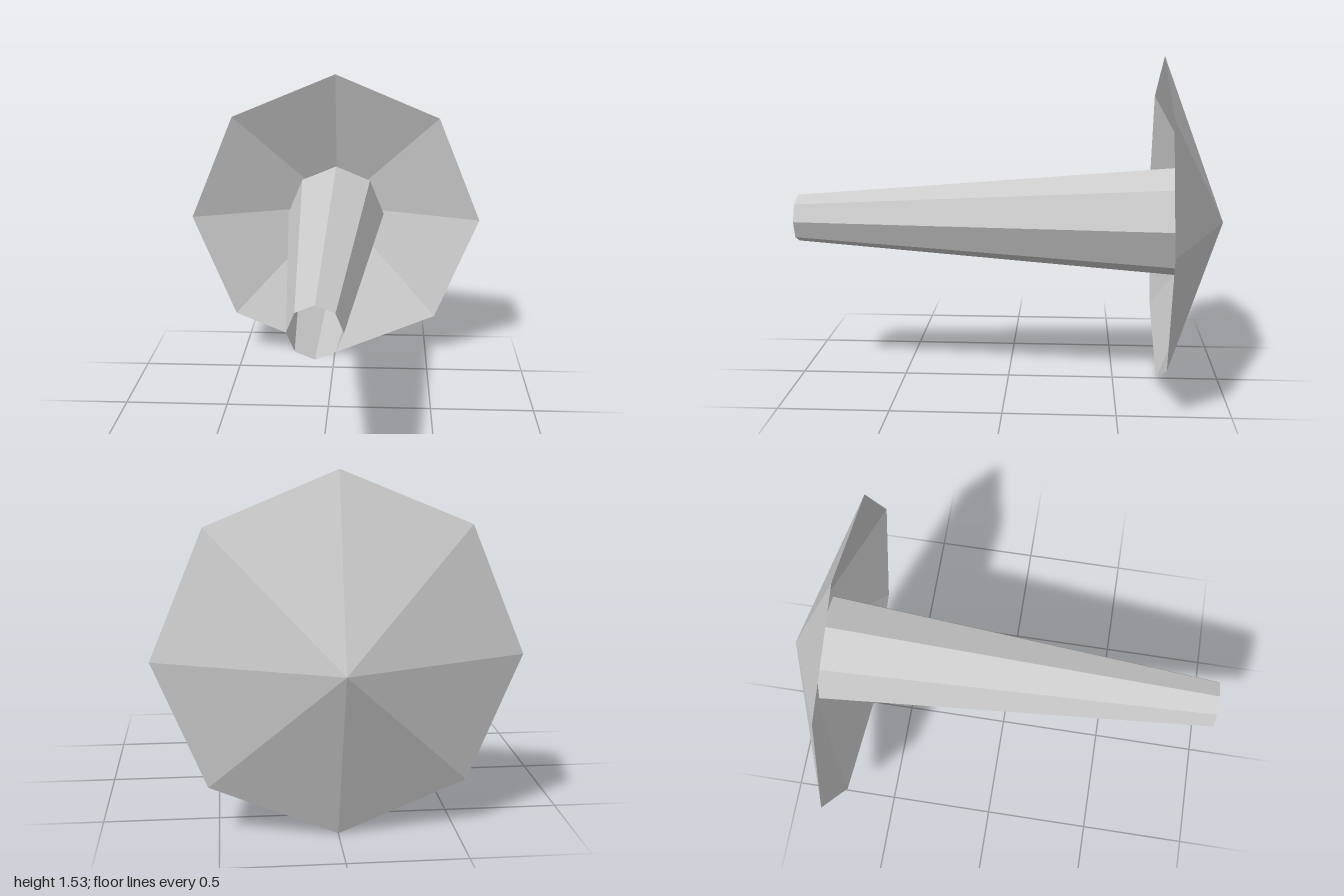
import * as THREE from 'three';

const CENTER_Y = 0.77;
const SIDES = 8;

export function createModel() {
  const group = new THREE.Group();
  group.name = 'spike';

  const grey = new THREE.MeshStandardMaterial({ color: 0xcccccc });
  grey.name = 'light grey';
  grey.flatShading = true;
  grey.side = THREE.DoubleSide;

  // Open eight-sided tube or cone lying along z
  function addTaper(name, frontRadius, backRadius, frontZ, backZ) {
    const geometry = new THREE.CylinderGeometry(
      frontRadius, backRadius, frontZ - backZ, SIDES, 1, true);
    geometry.rotateX(Math.PI / 2);
    const mesh = new THREE.Mesh(geometry, grey);
    mesh.name = name;
    mesh.position.set(0, CENTER_Y, (frontZ + backZ) / 2);
    group.add(mesh);
  }

  // Tapered hollow shaft, its wide end tucked inside the head
  addTaper('shaft', 0.111, 0.2585, 1, -0.83);

  // Wide shallow hollow head, pointing backward
  addTaper('head', 0.766, 0, -0.71, -1);

  return group;
}
